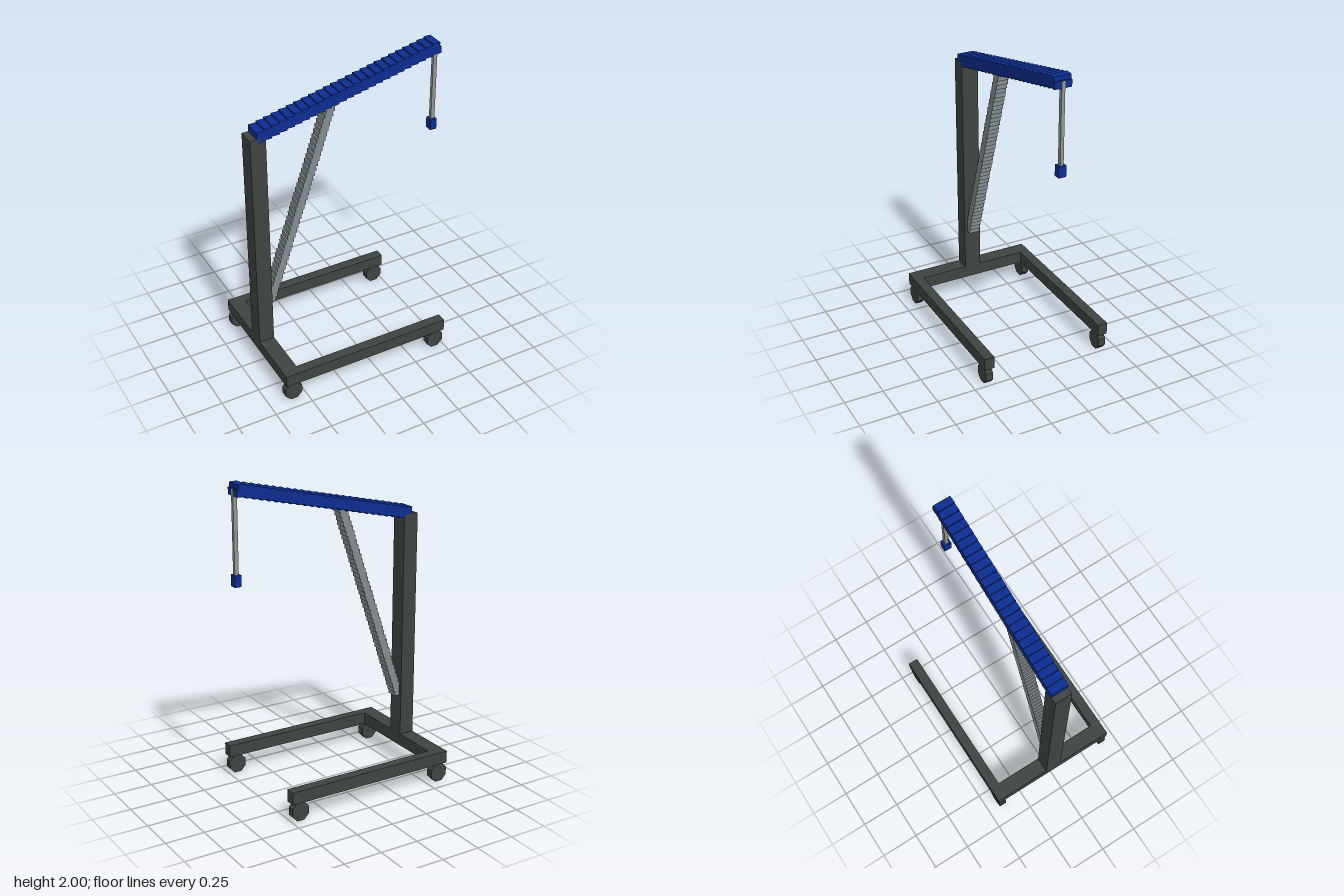
import * as THREE from 'three';

const mat = (name, color) => {
  const m = new THREE.MeshStandardMaterial({ color });
  m.name = name;
  return m;
};

export function createModel() {
  const steel = mat('dark steel', 0x3e4442);
  const blue = mat('blue paint', 0x0d2d90);
  const grey = mat('grey metal', 0x848c8f);
  const cableGrey = mat('cable grey', 0x929694);
  const model = new THREE.Group();
  model.name = 'mobileCrane';

  // Box given by its lower and upper corners
  const box = (name, m, x0, x1, y0, y1, z0, z1, parent = model) => {
    const mesh = new THREE.Mesh(new THREE.BoxGeometry(x1 - x0, y1 - y0, z1 - z0), m);
    mesh.position.set((x0 + x1) / 2, (y0 + y1) / 2, (z0 + z1) / 2);
    mesh.name = name;
    parent.add(mesh);
    return mesh;
  };

  // U-shaped base and mast
  box('baseCrossbar', steel, -0.64, -0.54, 0.12, 0.2, -0.432, 0.432);
  box('mast', steel, -0.64, -0.54, 0.2, 1.68, -0.056, 0.056);
  for (const s of [-1, 1]) {
    const z = s * 0.4;
    box('baseLeg', steel, -0.54, 0.5, 0.12, 0.2, z - 0.032, z + 0.032);

    // Octagonal wheels
    for (const x of [-0.587, 0.44]) {
      const geo = new THREE.CylinderGeometry(0.065, 0.065, 0.047, 8).toNonIndexed();
      geo.rotateY(Math.PI / 8).rotateX(Math.PI / 2).scale(0.94, 1, 1);
      geo.computeVertexNormals();
      const wheel = new THREE.Mesh(geo, steel);
      wheel.position.set(x, 0.06, z);
      wheel.name = 'wheel';
      model.add(wheel);
    }
  }

  // Stepped boom
  const boom = new THREE.Group();
  boom.name = 'boom';
  model.add(boom);
  const boomSteps = 25, pitch = 1.214 / boomSteps;
  for (let i = 0; i < boomSteps; i++) {
    const x = -0.597 + i * pitch;
    const y = 1.652 + (0.275 * i) / (boomSteps - 1);
    box('boomSegment', blue, x, x + pitch, y, y + 0.073, -0.056, 0.056, boom);
  }
  box('boomTip', blue, 0.617, 0.627, 1.927, 1.972, -0.056, 0.056, boom);

  // Stepped diagonal strut
  const strut = new THREE.Group();
  strut.name = 'strut';
  model.add(strut);
  const strutSteps = 42, rise = 1.31 / strutSteps;
  for (let i = 0; i < strutSteps; i++) {
    const x = -0.535 + (0.435 * i) / (strutSteps - 1);
    const y = 0.47 + i * rise;
    box('strutSegment', grey, x - 0.028, x + 0.028, y, y + rise, -0.036, 0.036, strut);
  }

  // Hanging cable and hook block
  box('cable', cableGrey, 0.604, 0.63, 1.45, 1.97, -0.011, 0.011);
  box('hookBlock', blue, 0.594, 0.638, 1.387, 1.458, -0.025, 0.025);
  return model;
}
